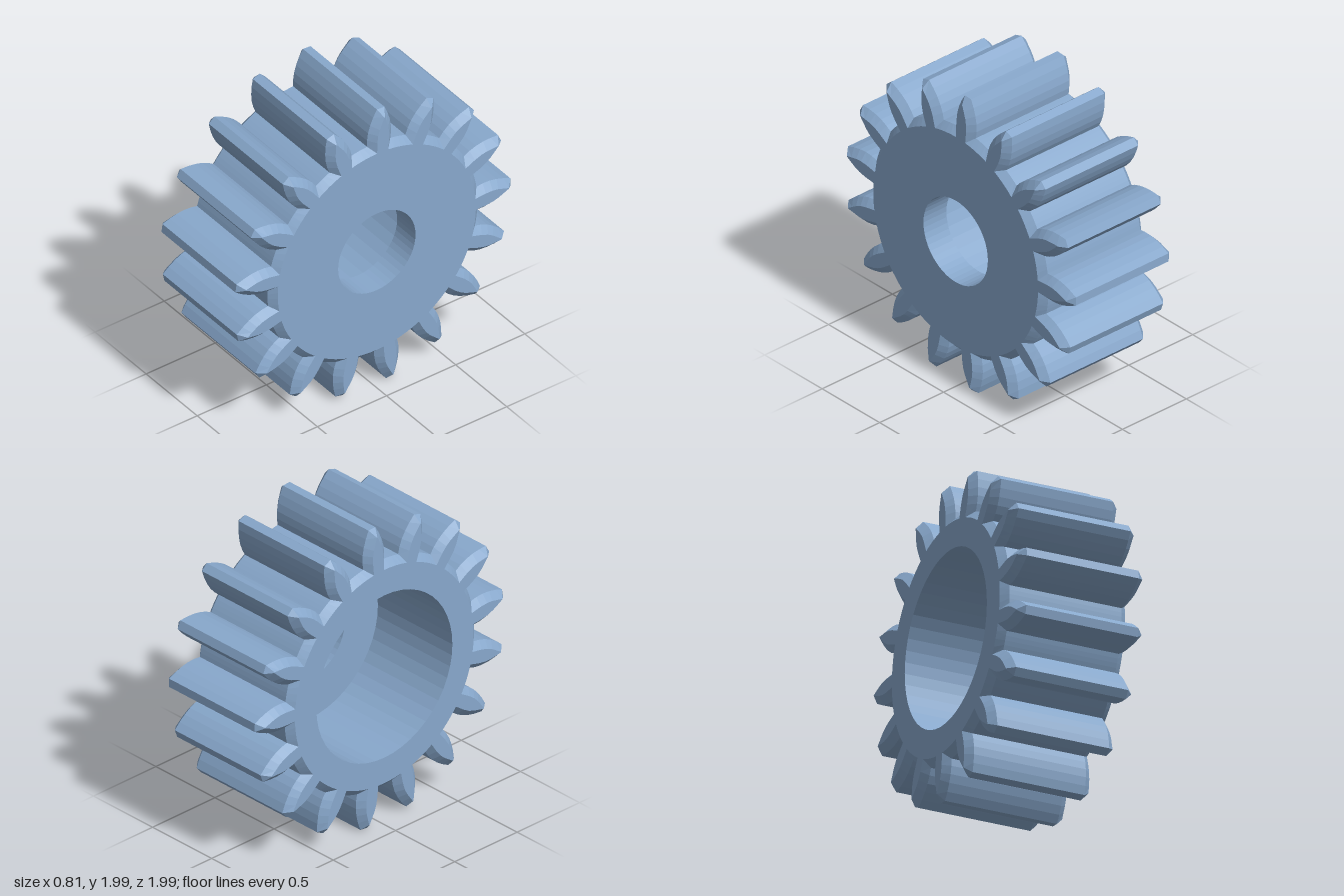
import * as THREE from 'three';

const TEETH = 17, PITCH = (Math.PI * 2) / TEETH, START = 0.0595;
const END = 0.405, BEVEL = 0.362;      // half width at the faces and at the bevel's outer edge
const BORE = 0.28, RECESS = 0.545, WEB = 0.225;

// Half tooth profile as [distance from axis, half width], root to tip
const FULL = [[0.755, 0.084], [0.8, 0.087], [0.85, 0.083], [0.9, 0.071], [0.95, 0.052], [0.999, 0.027]];
const INSET = [[0.715, 0.04], [0.79, 0.043], [0.84, 0.04], [0.88, 0.031], [0.92, 0.016], [0.957, 0.002]];

// Whole gear outline, clockwise as seen from +x; u runs towards -z
function outline(half) {
  const pts = [];
  const [r0, w0] = half[0];
  const root = Math.hypot(r0, w0), edge = Math.atan2(w0, r0);
  for (let i = 0; i < TEETH; i++) {
    const a = START + i * PITCH, s = Math.sin(a), c = Math.cos(a);
    const put = (r, w) => pts.push(new THREE.Vector2(r * s + w * c, r * c - w * s));
    half.forEach(([r, w]) => put(r, -w));
    [...half].reverse().forEach(([r, w]) => put(r, w));
    for (let k = 1; k < 4; k++) {
      const b = edge + (PITCH - 2 * edge) * k / 4;
      put(root * Math.cos(b), root * Math.sin(b));
    }
  }
  return pts;
}

// Skin joining the outlines at successive x positions
function skin(sections) {
  const pos = [];
  for (let k = 0; k < sections.length - 1; k++) {
    const [A, B] = [sections[k], sections[k + 1]];
    const n = A.pts.length;
    for (let i = 0; i < n; i++) {
      const j = (i + 1) % n;
      for (const [S, m] of [[A, i], [B, i], [B, j], [A, i], [B, j], [A, j]]) {
        pos.push(S.x, S.pts[m].y, -S.pts[m].x);
      }
    }
  }
  const g = new THREE.BufferGeometry();
  g.setAttribute('position', new THREE.Float32BufferAttribute(pos, 3));
  g.computeVertexNormals();
  return g;
}

// Flat end face with a round hole; side is +1 or -1 along x
function endFace(pts, hole, side) {
  const shape = new THREE.Shape(pts.map(p => new THREE.Vector2(p.x * side, p.y)));
  shape.holes.push(new THREE.Path().absarc(0, 0, hole, 0, Math.PI * 2, true));
  return new THREE.ShapeGeometry(shape, 24).rotateY(side * Math.PI / 2).translate(side * END, 0, 0);
}

export function createModel() {
  const gear = new THREE.Group();
  gear.name = 'gear';
  const steelBlue = new THREE.MeshStandardMaterial({ color: 0x88a8cc, flatShading: true });
  steelBlue.name = 'steelBlue';
  const add = (name, geometry) => {
    const mesh = new THREE.Mesh(geometry, steelBlue);
    mesh.name = name;
    mesh.position.y = 1;
    gear.add(mesh);
  };

  const full = outline(FULL), inset = outline(INSET);
  add('bevelledTeeth', skin([
    { x: -END, pts: inset }, { x: -BEVEL, pts: full },
    { x: BEVEL, pts: full }, { x: END, pts: inset },
  ]));
  add('webFace', endFace(inset, BORE, 1));
  add('rimFace', endFace(inset, RECESS, -1));

  // Shaft hole, web floor and wide recess
  const bore = [[BORE, END], [BORE, WEB], [RECESS, WEB], [RECESS, -END]];
  add('stepBore', new THREE.LatheGeometry(bore.map(p => new THREE.Vector2(...p)), 48).rotateZ(-Math.PI / 2));
  return gear;
}
